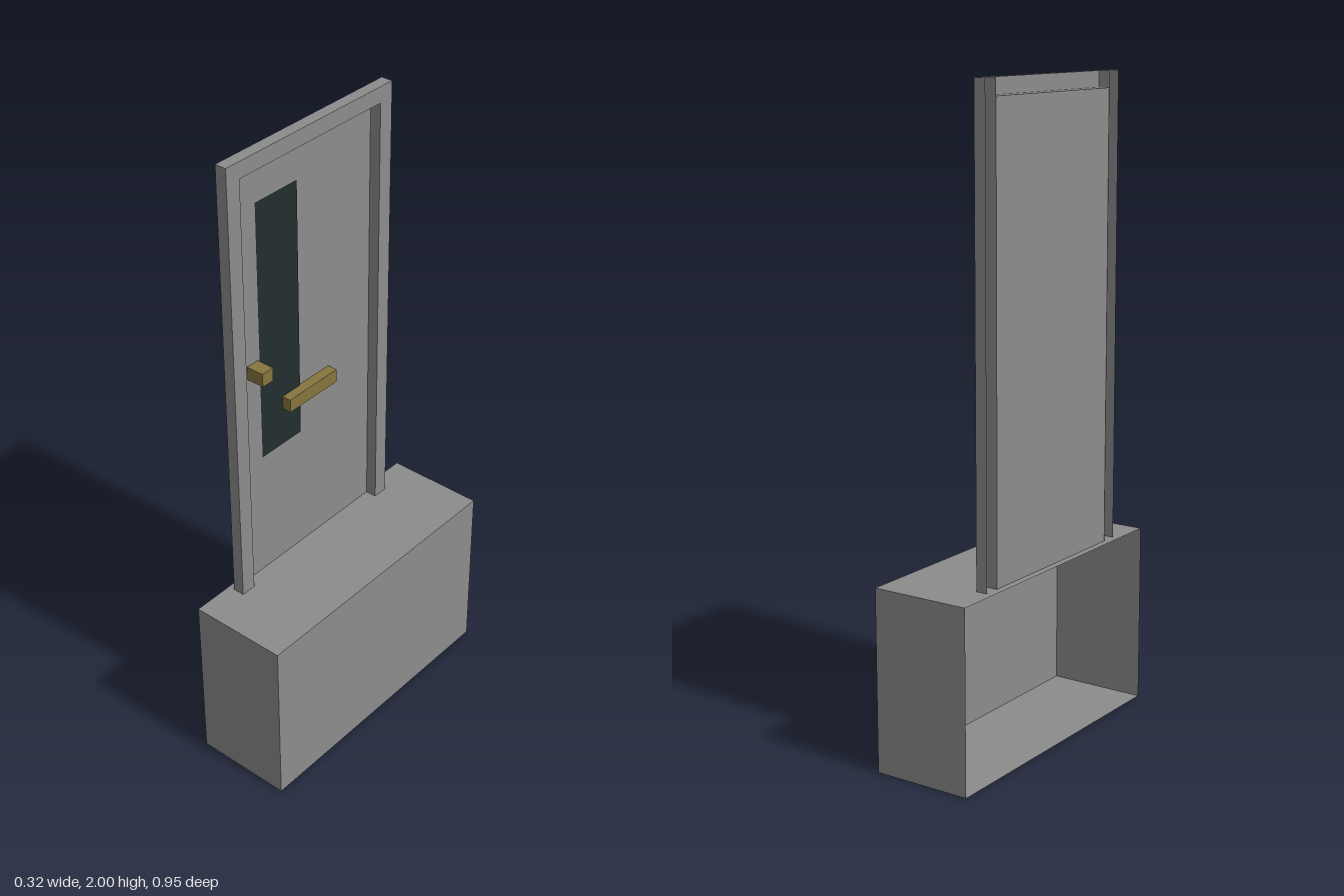
import * as THREE from 'three';

const material = (name, color) => {
  const m = new THREE.MeshStandardMaterial({ color, side: THREE.DoubleSide });
  m.name = name;
  return m;
};

// Thin-walled box given by its limits, open on the -x side
function openBox(name, mat, [x0, x1], [y0, y1], [z0, z1]) {
  const geo = new THREE.BoxGeometry(x1 - x0, y1 - y0, z1 - z0);
  const index = Array.from(geo.index.array);
  index.splice(6, 6); // drop the -x face
  geo.setIndex(index);
  geo.clearGroups();
  const mesh = new THREE.Mesh(geo, mat);
  mesh.name = name;
  mesh.position.set((x0 + x1) / 2, (y0 + y1) / 2, (z0 + z1) / 2);
  return mesh;
}

// Flat sheet facing +x
function sheet(name, mat, x, [y0, y1], [z0, z1]) {
  const geo = new THREE.PlaneGeometry(z1 - z0, y1 - y0).rotateY(Math.PI / 2);
  const mesh = new THREE.Mesh(geo, mat);
  mesh.name = name;
  mesh.position.set(x, (y0 + y1) / 2, (z0 + z1) / 2);
  return mesh;
}

export function createModel() {
  const grey = material('grey', 0x8c8c8c);
  const brass = material('brass', 0x86753f);
  const glass = material('darkGlass', 0x222e2e);

  const stepTop = 0.565, back = -0.137, front = -0.1;
  const halfWidth = 0.34, inner = 0.29, head = 1.95;
  const panelX = -0.136;

  const model = new THREE.Group();
  model.name = 'doorOnStep';

  // Step block
  model.add(openBox('step', grey, [-0.158, 0.158], [0, stepTop], [-0.475, 0.475]));

  // Door frame: two jambs and a header
  const frame = new THREE.Group();
  frame.name = 'frame';
  frame.add(
    openBox('leftJamb', grey, [back, front], [stepTop, 2], [inner, halfWidth]),
    openBox('rightJamb', grey, [back, front], [stepTop, 2], [-halfWidth, -inner]),
    openBox('header', grey, [back, front], [head, 2], [-inner, inner])
  );
  model.add(frame);

  // Door leaf with its narrow window
  model.add(sheet('doorPanel', grey, panelX, [stepTop, head], [-inner, inner]));
  model.add(sheet('window', glass, panelX + 0.003, [0.985, 1.83], [0.03, 0.2]));

  // Lock and pull bar
  model.add(openBox('lock', brass, [panelX, -0.078], [1.285, 1.328], [0.205, 0.249]));
  model.add(openBox('handle', brass, [panelX, -0.103], [1.11, 1.153], [-0.102, 0.107]));

  return model;
}
